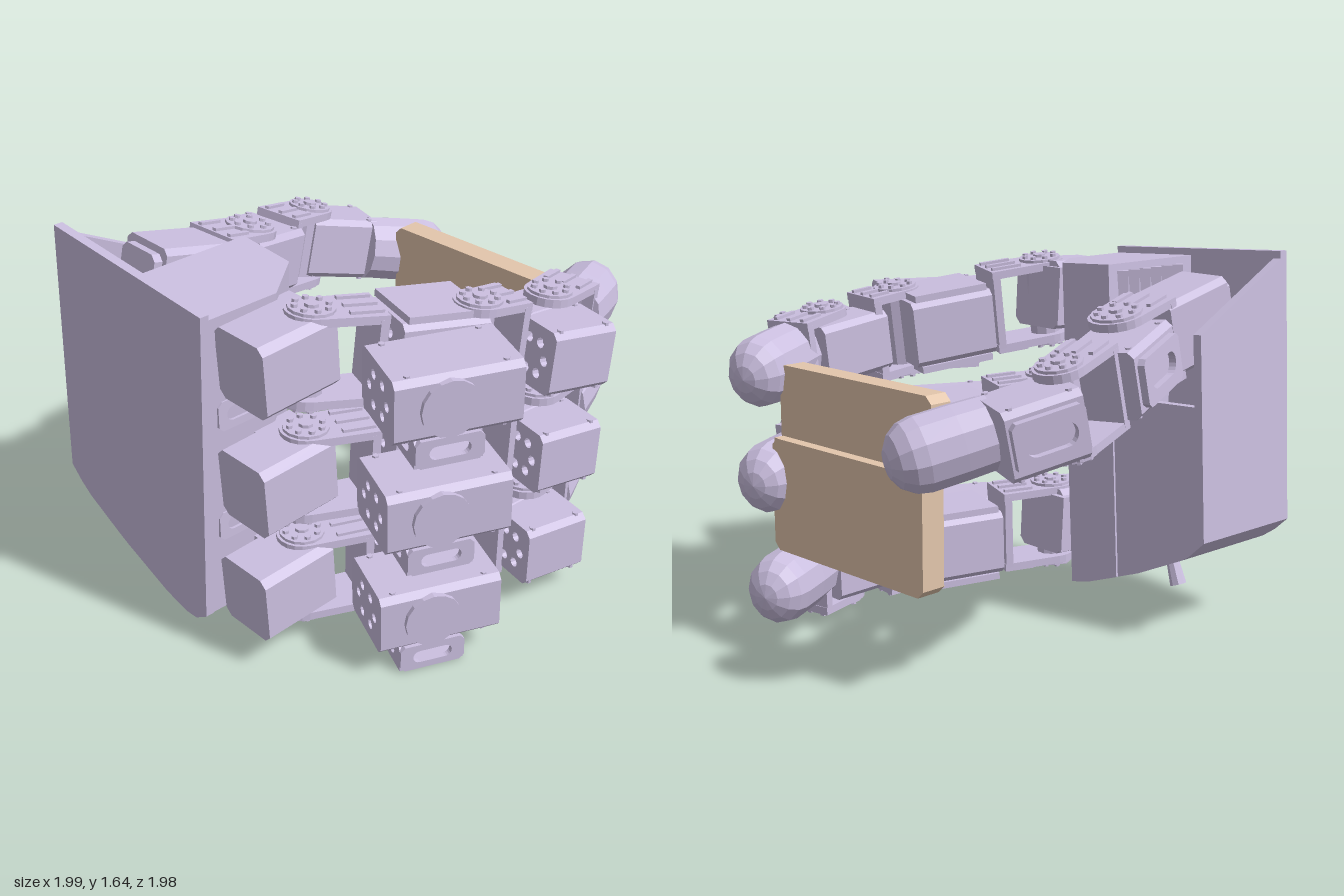
import * as THREE from 'three';

const shell = new THREE.MeshStandardMaterial({ color: 0xcbbfe0, flatShading: true, side: THREE.DoubleSide });
const tan = new THREE.MeshStandardMaterial({ color: 0xe3c6ac, flatShading: true });

function add(parent, name, geo, x = 0, y = 0, z = 0, mat = shell) {
  const m = new THREE.Mesh(geo, mat);
  m.name = name;
  m.position.set(x, y, z);
  parent.add(m);
  return m;
}

function frame(parent, name, x, y, z, ry = 0) {
  const g = new THREE.Group();
  g.name = name;
  g.position.set(x, y, z);
  g.rotation.y = ry;
  parent.add(g);
  return g;
}

// Rectangle with cut corners
function cutRect(w, h, c) {
  const a = w / 2, b = h / 2;
  return new THREE.Shape([[-a + c, -b], [a - c, -b], [a, -b + c], [a, b - c], [a - c, b], [-a + c, b], [-a, b - c], [-a, -b + c]]
    .map(p => new THREE.Vector2(...p)));
}

function slab(shape, depth) {
  return new THREE.ExtrudeGeometry(shape, { depth, bevelEnabled: false, curveSegments: 5 });
}

function block(w, h, l, c = 0.025) {
  return slab(cutRect(w, h, c), l).translate(0, 0, -l / 2);
}

// Plate with a long rounded slot
function slotPlate(w, h, t) {
  const s = cutRect(w, h, 0.02), r = h * 0.24, a = w * 0.2;
  const p = new THREE.Path();
  p.absarc(a, 0, r, -Math.PI / 2, Math.PI / 2);
  p.absarc(-a, 0, r, Math.PI / 2, Math.PI * 1.5);
  s.holes.push(p);
  return slab(s, t);
}

// Servo: body, drilled end plate and small screws
function motor(parent, name, x, y, z, ry, w, h, l) {
  const g = frame(parent, name, x, y, z, ry);
  add(g, 'motorBody', block(w, h, l - 0.03), 0, 0, -0.015);
  const face = cutRect(w, h, 0.025);
  for (let i = 0; i < 6; i++) {
    const p = new THREE.Path(), a = i * Math.PI / 3;
    p.absarc(Math.cos(a) * w * 0.27, Math.sin(a) * h * 0.28, 0.022, 0, Math.PI * 2);
    face.holes.push(p);
  }
  add(g, 'drilledPlate', slab(face, 0.03), 0, 0, l / 2 - 0.03);
  for (const sx of [-1, 1]) for (const sz of [-1, 1])
    add(g, 'screw', new THREE.CylinderGeometry(0.014, 0.014, h + 0.015, 6), sx * w * 0.38, 0, sz * l * 0.38);
  return g;
}

// Fork: two rounded arms above and below a pivot at a, joined by a bridge at b
function fork(parent, name, a, b, w, h, y = 0) {
  const dx = b[0] - a[0], dz = b[1] - a[1], L = Math.hypot(dx, dz), r = w / 2;
  const g = frame(parent, name, a[0], y, a[1], Math.atan2(dx, dz));
  const s = new THREE.Shape();
  s.absarc(0, 0, r * 0.92, 0, Math.PI);
  s.lineTo(-r, -L);
  s.lineTo(r, -L);
  for (const k of [-1, 1]) {
    add(g, 'forkArm', slab(s, 0.035).rotateX(-Math.PI / 2), 0, k * h - 0.0175, 0);
    add(g, 'horn', new THREE.CylinderGeometry(r * 0.82, r * 0.82, 0.02, 14), 0, k * (h + 0.02), 0);
    add(g, 'hub', new THREE.CylinderGeometry(0.03, 0.03, 0.02, 8), 0, k * (h + 0.033), 0);
    for (let i = 0; i < 8; i++) {
      const t = i * Math.PI / 4;
      add(g, 'bolt', new THREE.CylinderGeometry(0.014, 0.014, 0.02, 6), Math.cos(t) * r * 0.6, k * (h + 0.033), Math.sin(t) * r * 0.6);
    }
    for (const e of [-1, 0, 1])
      add(g, 'armRib', new THREE.BoxGeometry(0.02, 0.02, L * 0.5), e * r * 0.65, k * (h + 0.02), L * 0.7);
  }
  add(g, 'forkBridge', new THREE.BoxGeometry(w, h * 2, 0.035), 0, 0, L - 0.02);
  add(g, 'pivot', new THREE.CylinderGeometry(r * 0.6, r * 0.6, h * 2, 10));
}

// Fingertip: flat-backed faceted barrel with a domed end
function tip(parent, a, b, r) {
  const dx = b[0] - a[0], dz = b[1] - a[1], L = Math.hypot(dx, dz);
  const g = frame(parent, 'fingertip', a[0], 0, a[1], Math.atan2(dx, dz));
  const profile = [[0, 0], [r * 0.97, 0], [r, L * 0.5]];
  for (let i = 0; i <= 4; i++) {
    const t = i * Math.PI / 8;
    profile.push([r * Math.cos(t), L + r * Math.sin(t)]);
  }
  const lathe = new THREE.LatheGeometry(profile.map(p => new THREE.Vector2(...p)), 12);
  add(g, 'tipPad', lathe.rotateX(Math.PI / 2).scale(0.98, 1.08, 1));
}

// Slotted tray hanging below a motor
function tray(g, w, l) {
  add(g, 'trayFloor', new THREE.BoxGeometry(w, 0.025, l), 0, -0.245, 0);
  for (const k of [-1, 1])
    add(g, 'traySide', slotPlate(l, 0.12, 0.025).rotateY(Math.PI / 2), k * w / 2 - 0.0125, -0.195, 0);
  add(g, 'trayFront', slotPlate(w, 0.12, 0.025), 0, -0.195, l / 2 - 0.025);
}

function finger(parent, i, y, slope) {
  const pivot = frame(parent, 'finger' + (i + 1), -0.035 * i, y, 0.75);
  pivot.rotation.x = -slope;
  const f = frame(pivot, 'fingerParts', 0, 0, -0.75);
  // Knuckle stays level with the palm
  const k = frame(parent, 'knuckle' + (i + 1), -0.02 * i, y + 0.01, 0.73);
  k.rotation.x = 0.05;
  add(k, 'knuckleMotor', block(0.28, 0.31, 0.36, 0.03), 0.27, 0, 0);
  add(k, 'knuckleFoot', new THREE.BoxGeometry(0.2, 0.26, 0.2), 0.2, 0, -0.11);
  fork(f, 'knuckleFork', [0.3, 0.61], [0.4, 0.35], 0.23, 0.17);
  // Middle
  const m = motor(f, 'middleMotor', 0.72, -0.03, 0.3, -0.4, 0.34, 0.27, 0.52);
  m.rotation.x = slope;
  add(m, 'outerBoss', new THREE.CylinderGeometry(0.12, 0.12, 0.05, 16).rotateZ(Math.PI / 2), 0.165, 0, 0.04);
  tray(frame(m, 'slottedTray', 0, 0, 0.03), 0.3, 0.28);
  motor(f, 'innerMotor', 0.43, -0.01, 0.1, -0.3, 0.32, 0.29, 0.38);
  for (const s of [-1, 1])
    add(f, 'innerCover', new THREE.BoxGeometry(0.3, 0.03, 0.34), 0.43, s * 0.16 - 0.01, 0.1).rotation.y = -0.3;
  fork(f, 'middleFork', [0.55, -0.05], [0.57, -0.23], 0.23, 0.17, -0.015);
  // Outer joint
  motor(f, 'outerMotor', 0.76, -0.03, -0.35, -0.2, 0.26, 0.27, 0.3);
  add(f, 'outerCore', block(0.24, 0.26, 0.34), 0.56, -0.02, -0.36);
  fork(f, 'outerFork', [0.6, -0.42], [0.55, -0.64], 0.23, 0.155, -0.02);
  tip(f, [0.58 - 0.01 * i, -0.6], [0.475 - 0.02 * i, -0.845], 0.14);
}

function thumb(parent) {
  const pivot = frame(parent, 'thumb', 0, 1.35, 0.55);
  pivot.rotation.x = -0.235;
  const f = frame(pivot, 'thumbParts', 0, 0, -0.55);
  add(f, 'thumbBase', block(0.27, 0.32, 0.36), -0.59, 0, 0.55);
  add(f, 'thumbBaseCap', block(0.22, 0.26, 0.06), -0.59, 0, 0.74);
  fork(f, 'thumbBaseFork', [-0.62, 0.17], [-0.59, 0.4], 0.26, 0.16);
  const m = motor(f, 'thumbMiddleMotor', -0.71, 0, 0.06, 0.3, 0.32, 0.28, 0.36);
  add(m, 'slottedSide', slotPlate(0.32, 0.2, 0.03).rotateY(Math.PI / 2), -0.19, 0, 0);
  fork(f, 'thumbMiddleFork', [-0.8, -0.34], [-0.74, -0.1], 0.23, 0.16);
  const o = motor(f, 'thumbOuterMotor', -0.8, 0, -0.52, -0.32, 0.28, 0.28, 0.32);
  add(o, 'slottedSide', slotPlate(0.3, 0.2, 0.03).rotateY(Math.PI / 2), -0.17, 0, 0);
  tip(f, [-0.68, -0.62], [-0.58, -0.89], 0.14);
}

// Lower edge of the palm across x
const edge = [[-0.8, 0.47], [-0.7, 0.38], [-0.42, 0.25], [-0.12, 0.14], [0.06, 0.1], [0.15, 0.16]];
function bottom(x) {
  if (x <= edge[0][0]) return edge[0][1];
  for (let i = 1; i < edge.length; i++) {
    const [x0, y0] = edge[i - 1], [x1, y1] = edge[i];
    if (x <= x1) return y0 + (y1 - y0) * (x - x0) / (x1 - x0);
  }
  return edge[edge.length - 1][1];
}

// Palm solid from x0; each depth level gives z, its far x and how far its top is lowered.
// With a thickness it becomes a floor that follows the lower edge.
function palmPart(parent, name, x0, levels, thickness) {
  const geo = new THREE.BoxGeometry(1, 1, 1, 14, 1, levels.length - 1);
  const p = geo.attributes.position;
  for (let i = 0; i < p.count; i++) {
    const [z, x1, drop] = levels[Math.round((p.getZ(i) + 0.5) * (levels.length - 1))];
    const x = x0 + (p.getX(i) + 0.5) * (x1 - x0);
    const top = thickness ? bottom(x) + thickness : 1.585 - 0.06 * (x - 0.13) - drop;
    const y = p.getY(i) < 0 ? bottom(x) : top;
    p.setXYZ(i, x + (y - 1.6) * 0.06, y, z);
  }
  geo.computeVertexNormals();
  add(parent, name, geo);
}

export function createModel() {
  const root = new THREE.Group();
  root.name = 'grippingHand';

  // Palm
  const palm = frame(root, 'palm', 0, 0, 0);
  palmPart(palm, 'palmPlate', -0.8, [[0.95, 0.15, 0], [0.99, 0.15, 0]]);
  palmPart(palm, 'palmBody', -0.3, [[0.42, -0.02, 0.03], [0.62, 0.14, 0.03], [0.955, 0.14, 0.03]]);
  palmPart(palm, 'palmBackWall', -0.79, [[0.43, -0.28, 0.6], [0.47, -0.28, 0.6]]);
  palmPart(palm, 'palmFloor', -0.79, [[0.44, -0.28], [0.955, -0.28]], 0.05);
  palmPart(palm, 'palmSideWall', -0.8, [[0.43, -0.76, 0.3], [0.955, -0.76, 0.03]]);
  for (let i = 0; i < 6; i++)
    add(palm, 'palmRib', new THREE.BoxGeometry(0.05, 0.5, 0.03), -0.31, 1.3, 0.5 + i * 0.07).rotation.y = Math.PI / 4;
  add(palm, 'thumbMount', new THREE.BoxGeometry(0.3, 0.35, 0.2), -0.52, 1.1, 0.85);
  for (const y of [1.11, 0.58])
    add(palm, 'cableSlot', slotPlate(0.24, 0.13, 0.02).rotateY(Math.PI / 2), 0.13 + (y - 1.6) * 0.06, y, 0.79);
  add(palm, 'peg', new THREE.CylinderGeometry(0.025, 0.035, 0.13, 8), -0.67, 0.3, 0.48).rotation.z = -0.35;

  // Fingers and thumb
  [[1.37, 0.125], [0.825, 0.06], [0.305, 0.03]].forEach(([y, s], i) => finger(root, i, y, s));
  thumb(root);

  // Held panel with a stepped back
  const held = frame(root, 'heldPanel', -0.08, 0, -0.76, 0.05);
  add(held, 'panelLower', slab(cutRect(0.92, 0.48, 0.03), 0.11), 0, 0.67, -0.075, tan);
  add(held, 'panelUpper', slab(cutRect(0.92, 0.36, 0.03), 0.1), 0, 1.03, -0.025, tan);
  add(held, 'panelSeam', new THREE.BoxGeometry(0.9, 0.03, 0.12), 0, 0.895, -0.01, tan);
  return root;
}
